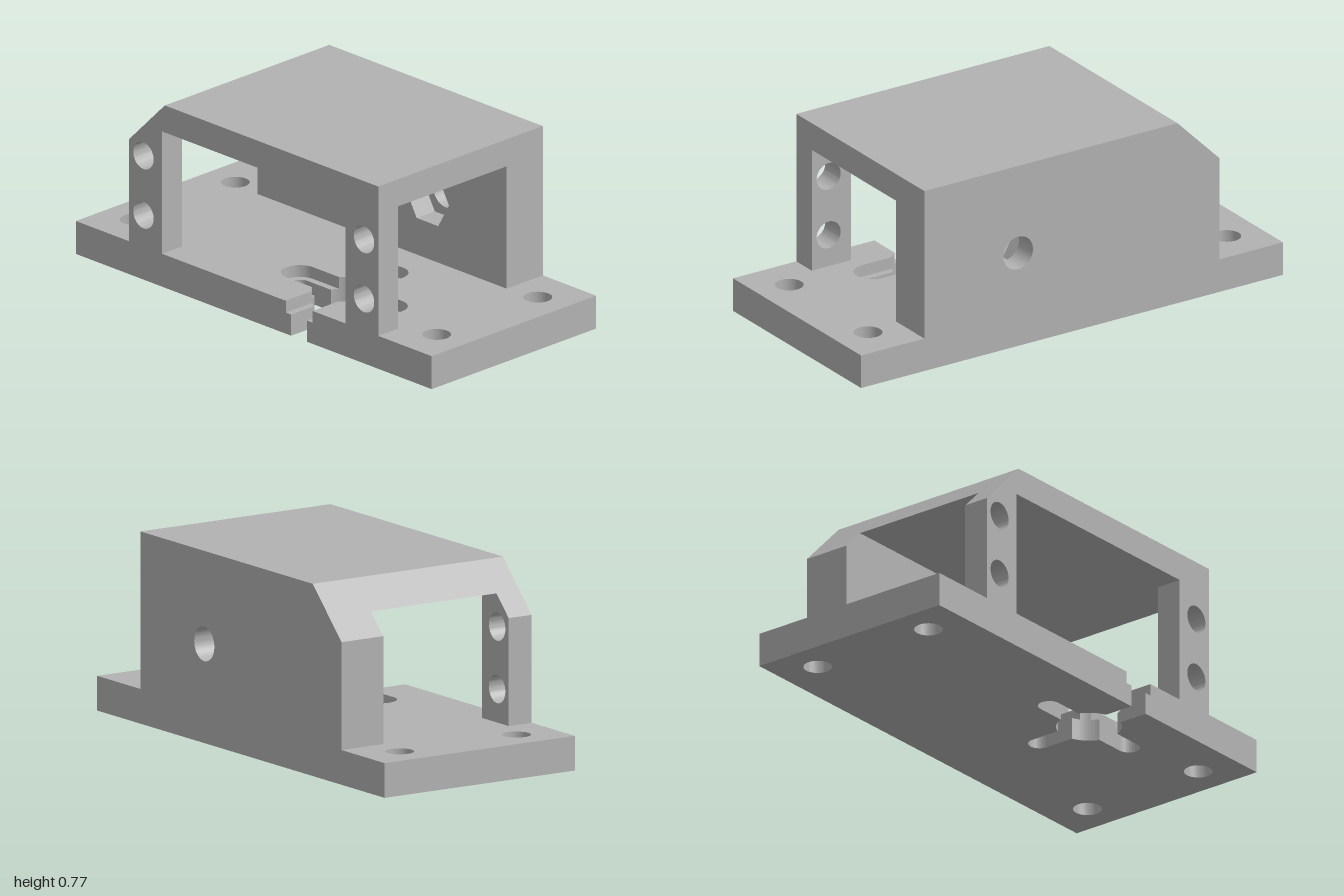
import * as THREE from 'three';
import { toCreasedNormals } from 'three/addons/utils/BufferGeometryUtils.js';

export function createModel() {
  const model = new THREE.Group();
  model.name = 'mountingBracket';
  const grey = new THREE.MeshStandardMaterial({ color: 0xb2b2b2 });
  grey.name = 'plain grey';

  const polygon = (points) => new THREE.Shape(points.map(([x, y]) => new THREE.Vector2(x, y)));
  const circle = (x, y, r) => new THREE.Path().absarc(x, y, r, 0, Math.PI * 2, true);

  function extrude(shape, depth) {
    const geo = new THREE.ExtrudeGeometry(shape, { depth, bevelEnabled: false, curveSegments: 24 });
    return toCreasedNormals(geo, 0.5);
  }
  function add(name, geo) {
    const mesh = new THREE.Mesh(geo, grey);
    mesh.name = name;
    model.add(mesh);
  }
  // Upright slab in the x-y plane, from z0 to z1
  const slab = (name, shape, z0, z1) => add(name, extrude(shape, z1 - z0).translate(0, 0, z0));

  // Base plate layer with a cross-shaped slot (half-width w) that opens to the front
  const cx = 0.255, cy = -0.205, hub = 0.13, arm = 0.25, edge = 0.455;
  function baseLayer(name, w, y0, y1) {
    const d = Math.asin(w / hub), q = Math.PI / 2;
    const s = new THREE.Shape();
    s.moveTo(-1, -edge);
    s.lineTo(cx - w, -edge);
    for (let i = 0; i < 4; i++) {
      const a = -Math.PI - i * q;
      s.absarc(cx, cy, hub, a + q - d, a + d, true);
      if (i < 3) {
        s.absarc(cx + arm * Math.cos(a), cy + arm * Math.sin(a), w, a + q, a - q, true);
      }
    }
    s.lineTo(cx + w, -edge);
    s.lineTo(1, -edge);
    s.lineTo(1, edge);
    s.lineTo(-1, edge);
    for (const x of [-0.85, 0.85]) {
      for (const z of [-0.28, 0.28]) s.holes.push(circle(x, z, 0.057));
    }
    add(name, extrude(s, y1 - y0).rotateX(-Math.PI / 2).translate(0, y0, 0));
  }
  baseLayer('baseLower', 0.045, 0, 0.09);
  baseLayer('baseUpper', 0.075, 0.09, 0.14);

  // Back wall: round bore outside, hexagonal nut pocket inside
  const outline = [[-0.7, 0.14], [0.7, 0.14], [0.7, 0.775], [-0.5, 0.775], [-0.7, 0.575]];
  const bored = polygon(outline);
  bored.holes.push(circle(cx, 0.4, 0.07));
  slab('backWallOuter', bored, -0.455, -0.355);

  const pocketed = polygon(outline);
  const hex = [];
  for (let i = 0; i < 6; i++) {
    const a = -i * Math.PI / 3;
    hex.push(new THREE.Vector2(cx + 0.121 * Math.cos(a), 0.4 + 0.121 * Math.sin(a)));
  }
  pocketed.holes.push(new THREE.Path(hex));
  slab('backWallInner', pocketed, -0.355, -0.255);

  // Roof between the walls
  slab('roof', polygon([[-0.615, 0.66], [0.7, 0.66], [0.7, 0.775], [-0.5, 0.775]]), -0.255, 0.345);

  // Front frame: an arch with two screw holes in each leg
  const frame = polygon([
    [-0.7, 0.14], [-0.515, 0.14], [-0.515, 0.66], [0.515, 0.66], [0.515, 0.14],
    [0.7, 0.14], [0.7, 0.775], [-0.5, 0.775], [-0.7, 0.575],
  ]);
  for (const x of [-0.62, 0.62]) {
    for (const y of [0.275, 0.527]) frame.holes.push(circle(x, y, 0.057));
  }
  slab('frontFrame', frame, 0.345, 0.455);

  return model;
}
